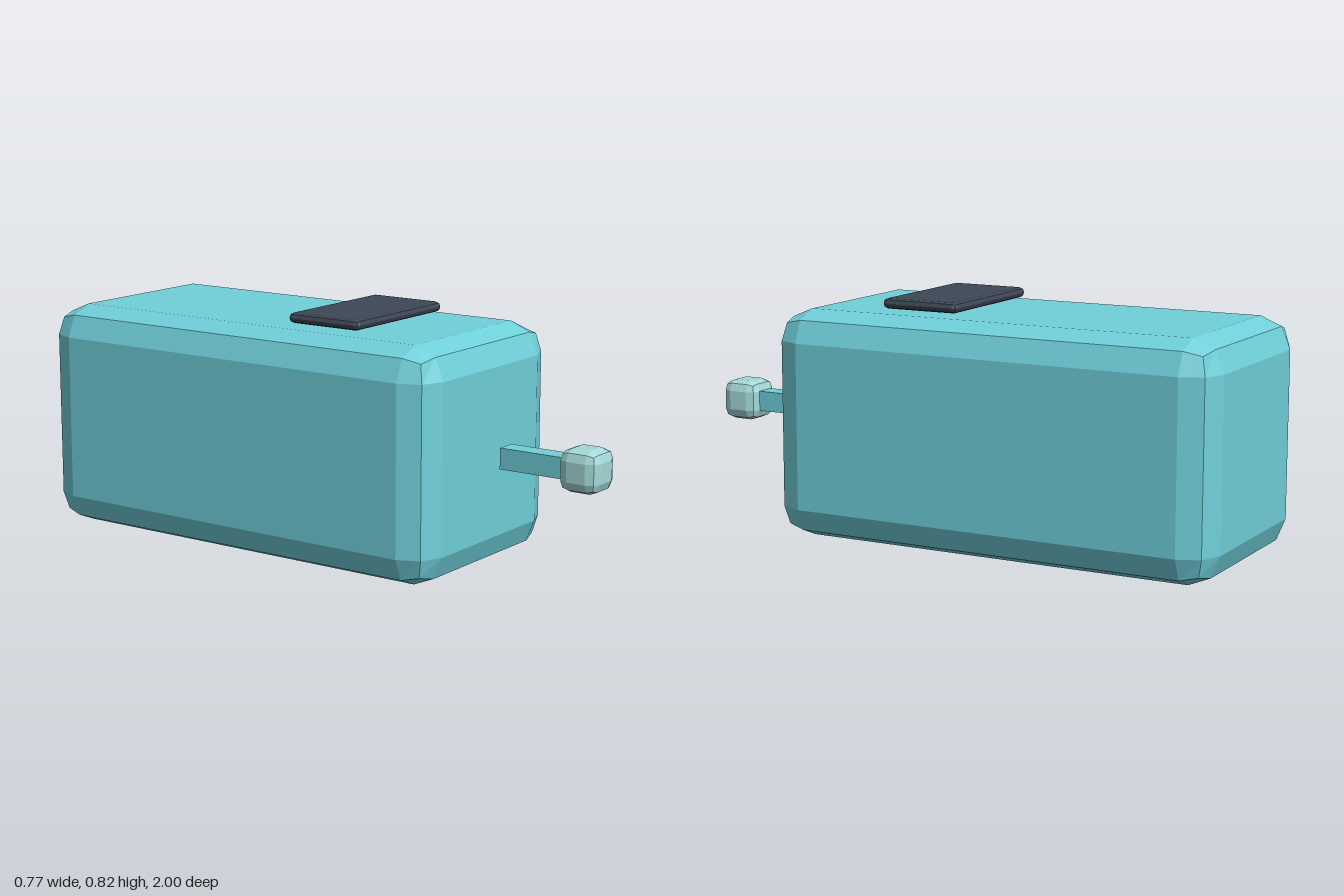
import * as THREE from 'three';
import { RoundedBoxGeometry } from 'three/addons/geometries/RoundedBoxGeometry.js';

function paint(name, color) {
  const material = new THREE.MeshStandardMaterial({ color, flatShading: true });
  material.name = name;
  return material;
}

export function createModel() {
  const group = new THREE.Group();
  group.name = 'model';
  const teal = paint('teal', 0x70d0da);
  const paleTeal = paint('paleTeal', 0xa4d9d8);
  const slate = paint('slate', 0x3e4755);

  function add(name, geometry, material, y, z) {
    const mesh = new THREE.Mesh(geometry, material);
    mesh.name = name;
    mesh.position.set(0, y, z);
    group.add(mesh);
  }

  // Long body with a two-step bevel on every edge
  add('body', new RoundedBoxGeometry(0.77, 0.772, 1.578, 1, 0.105), teal, 0.386, -0.211);

  // Thin panel hovering just above the body
  add('topPanel', new RoundedBoxGeometry(0.488, 0.035, 0.279, 1, 0.0165), slate, 0.8, 0.085);

  // Square stem and bevelled knob in front of the body
  add('stem', new THREE.BoxGeometry(0.07, 0.07, 0.28), teal, 0.386, 0.774);
  add('knob', new RoundedBoxGeometry(0.14, 0.14, 0.14, 1, 0.037), paleTeal, 0.386, 0.93);

  return group;
}
